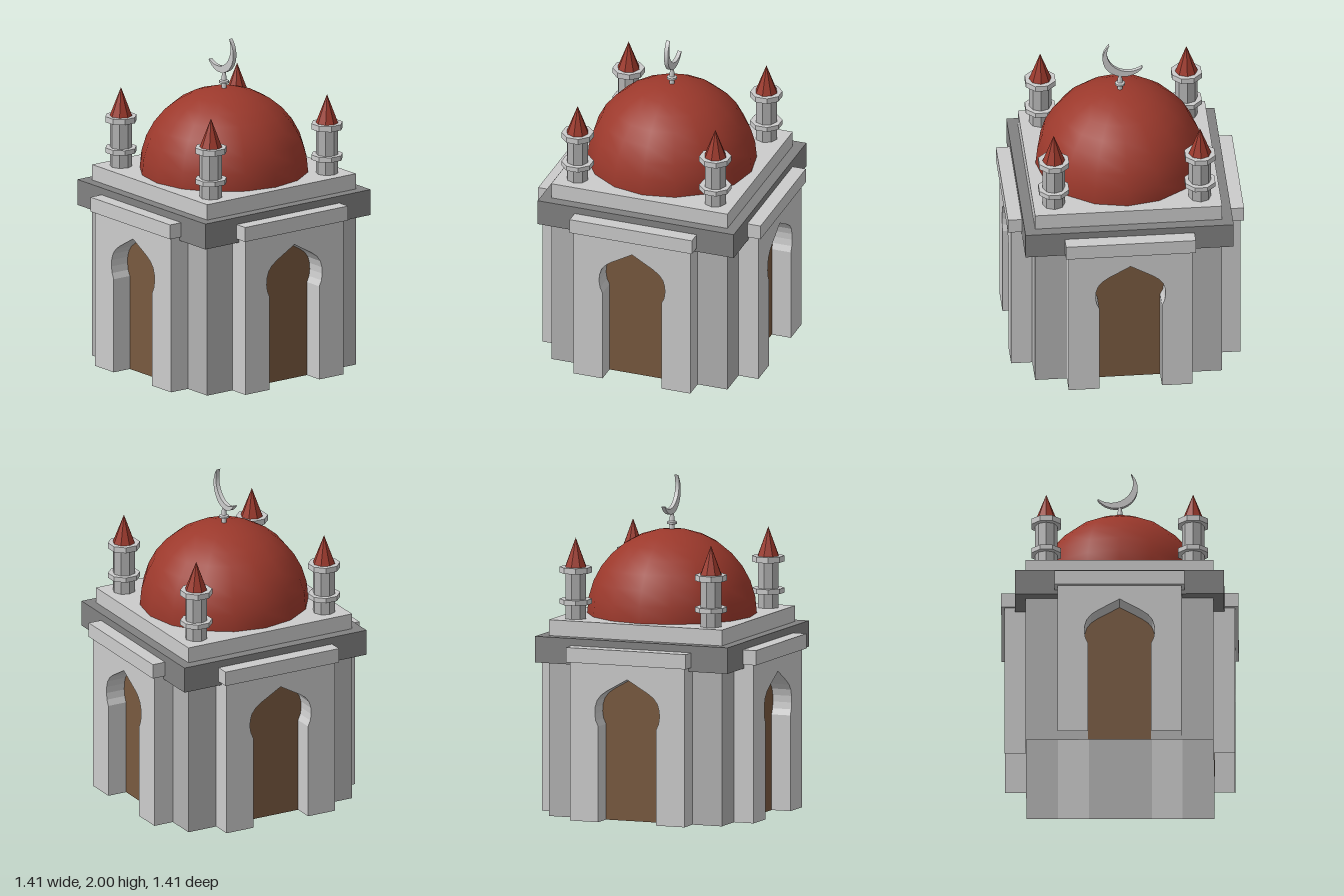
import * as THREE from 'three';

const material = (color, flatShading = false) => new THREE.MeshStandardMaterial({ color, flatShading });
const stone = material(0xcccccc, true);
const wallStone = material(0xb2b2b2, true);
wallStone.side = THREE.DoubleSide;
const darkStone = material(0x828282, true);
const roofRed = material(0x9c392c, true);
const domeRed = material(0x9c392c);
const wood = material(0x78593f, true);

function add(parent, name, geometry, mat, x = 0, y = 0, z = 0) {
  const mesh = new THREE.Mesh(geometry, mat);
  mesh.name = name;
  mesh.position.set(x, y, z);
  parent.add(mesh);
  return mesh;
}

// Box given by its width, bottom, top and depth
function block(parent, name, mat, w, y0, y1, d, z = 0) {
  return add(parent, name, new THREE.BoxGeometry(w, y1 - y0, d), mat, 0, (y0 + y1) / 2, z);
}

// Eight-sided piece; turn rotates its corners away from the axes
function octagon(parent, name, mat, top, bottom, y0, y1, turn = 0) {
  const g = new THREE.CylinderGeometry(top, bottom, y1 - y0, 8);
  g.rotateY(turn);
  return add(parent, name, g, mat, 0, (y0 + y1) / 2, 0);
}

// Drops the triangles lying on the lowest level, leaving the part open below
function openBelow(geometry) {
  const g = geometry.index ? geometry.toNonIndexed() : geometry;
  g.computeBoundingBox();
  const p = g.attributes.position;
  const limit = g.boundingBox.min.y + 1e-4;
  const kept = [];
  for (let i = 0; i < p.count; i += 3) {
    if (Math.max(p.getY(i), p.getY(i + 1), p.getY(i + 2)) > limit) kept.push(i, i + 1, i + 2);
  }
  g.setIndex(kept);
  g.clearGroups();
  return g;
}

// Right half of the pointed horseshoe arch, from floor to tip
const archHalf = [
  [0.187, 0], [0.187, 0.575], [0.203, 0.61], [0.209, 0.65], [0.207, 0.69],
  [0.195, 0.73], [0.17, 0.763], [0.13, 0.792], [0.07, 0.826], [0, 0.866],
];
const archOutline = [
  ...archHalf,
  ...archHalf.slice(0, -1).reverse().map(([x, y]) => [-x, y]),
].map(([x, y]) => new THREE.Vector2(x, y));

// Projecting doorway with arch, lintel and door panel
function createPortal() {
  const portal = new THREE.Group();
  portal.name = 'portal';
  const frame = new THREE.Shape([
    ...archOutline,
    new THREE.Vector2(-0.37, 0), new THREE.Vector2(-0.37, 0.955),
    new THREE.Vector2(0.37, 0.955), new THREE.Vector2(0.37, 0),
  ]);
  const frameGeometry = new THREE.ExtrudeGeometry(frame, { depth: 0.127, bevelEnabled: false });
  add(portal, 'archFrame', openBelow(frameGeometry), stone, 0, 0, 0.558);
  add(portal, 'door', new THREE.ShapeGeometry(new THREE.Shape(archOutline)), wood, 0, 0, 0.564);
  block(portal, 'lintel', stone, 0.775, 0.953, 1.042, 0.155, 0.628);
  return portal;
}

// Small corner tower with two rings and a pointed roof
function createTower() {
  const tower = new THREE.Group();
  tower.name = 'cornerTower';
  const ringRadius = 0.089 / Math.cos(Math.PI / 8);
  octagon(tower, 'towerShaft', wallStone, 0.067, 0.067, 1.18, 1.46);
  octagon(tower, 'lowerRing', stone, ringRadius, ringRadius, 1.267, 1.297, Math.PI / 8);
  octagon(tower, 'upperRing', stone, ringRadius, ringRadius, 1.455, 1.49, Math.PI / 8);
  octagon(tower, 'towerRoof', roofRed, 0, 0.068, 1.488, 1.665);
  return tower;
}

export function createModel() {
  const model = new THREE.Group();
  model.name = 'domedPavilion';

  // Square hollow body, cornice and roof slab
  const body = openBelow(new THREE.BoxGeometry(1.118, 0.935, 1.118));
  add(model, 'body', body, wallStone, 0, 0.4675, 0);
  block(model, 'cornice', darkStone, 1.244, 0.928, 1.085, 1.244);
  block(model, 'roofSlab', stone, 1.118, 1.08, 1.18, 1.118);

  // One doorway on each side
  for (let i = 0; i < 4; i++) {
    const portal = createPortal();
    portal.rotation.y = i * Math.PI / 2;
    model.add(portal);
  }

  // Four corner towers
  for (const x of [-0.437, 0.437]) {
    for (const z of [-0.437, 0.437]) {
      const tower = createTower();
      tower.position.set(x, 0, z);
      model.add(tower);
    }
  }

  // Dome
  add(model, 'dome', new THREE.SphereGeometry(0.505, 16, 8, 0, Math.PI * 2, 0, Math.PI / 2),
    domeRed, 0, 1.18, 0);

  // Turned finial
  const finial = [
    [0.016, 1.67], [0.014, 1.71], [0.03, 1.715],
    [0.03, 1.727], [0.017, 1.733], [0.01, 1.785], [0, 1.785],
  ].map(([x, y]) => new THREE.Vector2(x, y));
  add(model, 'finial', new THREE.LatheGeometry(finial, 12), stone);

  // Tilted crescent between two arcs
  const deg = THREE.MathUtils.degToRad;
  const crescent = new THREE.Shape();
  crescent.absarc(-0.026, 1.906, 0.131, deg(46), deg(-146), true);
  crescent.absarc(-0.053, 1.942, 0.1315, deg(-125.7), deg(26.2), false);
  add(model, 'crescent',
    new THREE.ExtrudeGeometry(crescent, { depth: 0.024, bevelEnabled: false, curveSegments: 20 }),
    stone, 0, 0, -0.012);

  return model;
}
